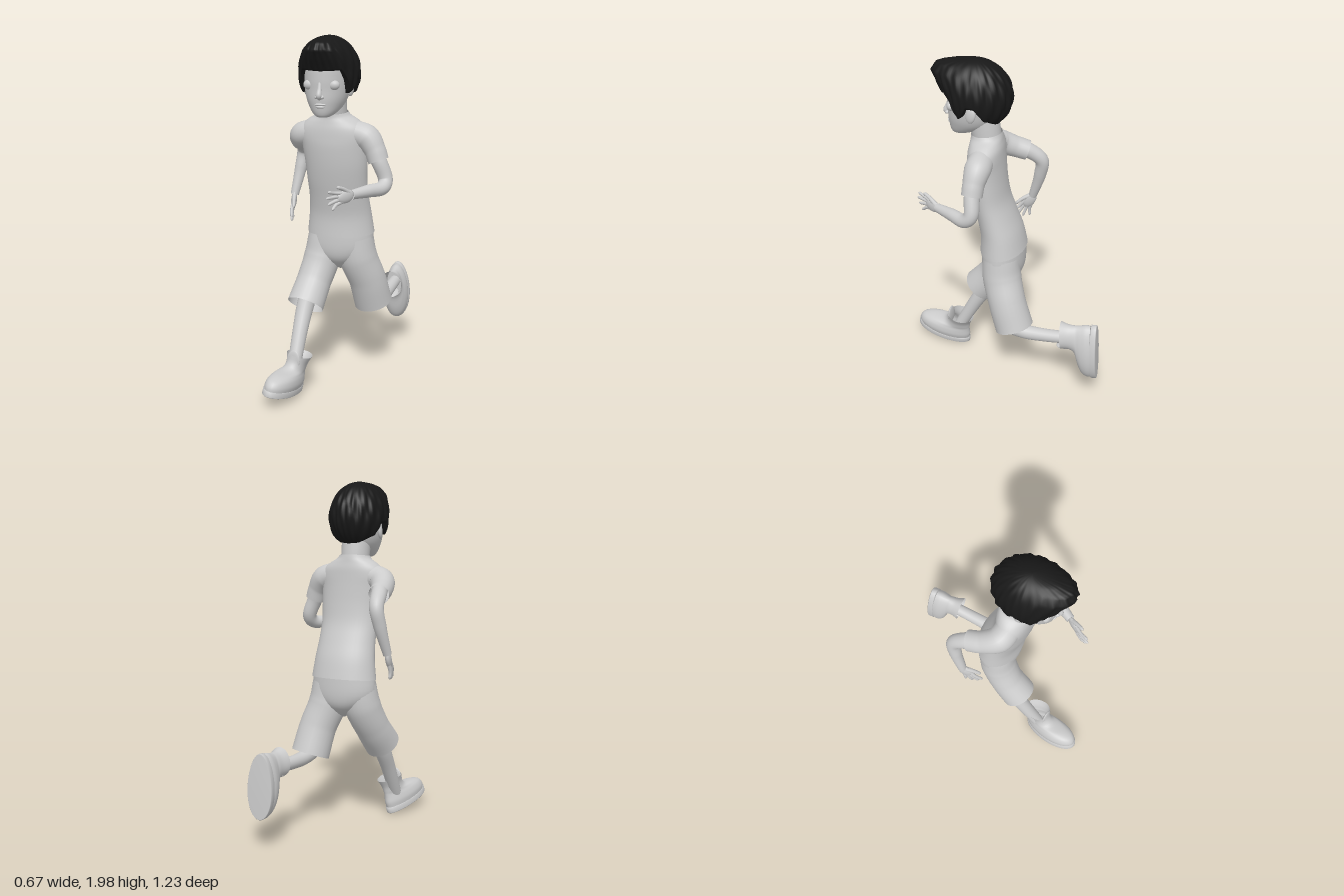
import * as THREE from 'three';
import { mergeVertices } from 'three/addons/utils/BufferGeometryUtils.js';

const V = (x, y, z) => new THREE.Vector3(x, y, z);
const grey = new THREE.MeshStandardMaterial({ color: 0xcccccc, side: THREE.DoubleSide });
const black = new THREE.MeshStandardMaterial({ color: 0x181818, side: THREE.DoubleSide });

function add(parent, name, geometry, material = grey) {
  const mesh = new THREE.Mesh(geometry, material);
  mesh.name = name;
  parent.add(mesh);
  return mesh;
}

// Straight interpolation in a table of [key, value] pairs with rising keys
function lookup(table, k) {
  let i = 0;
  while (i < table.length - 2 && k > table[i + 1][0]) i++;
  const [k0, v0] = table[i], [k1, v1] = table[i + 1];
  return v0 + (v1 - v0) * THREE.MathUtils.clamp((k - k0) / (k1 - k0), 0, 1);
}

// Skin stacked rings of points, ordered upwards
function skin(rings) {
  const n = rings[0].length, pos = [], idx = [];
  rings.forEach(r => r.forEach(p => pos.push(p.x, p.y, p.z)));
  for (let i = 0; i < rings.length - 1; i++)
    for (let j = 0; j < n; j++) {
      const a = i * n + j, b = i * n + (j + 1) % n;
      idx.push(a, b, a + n, b, b + n, a + n);
    }
  const g = new THREE.BufferGeometry();
  g.setAttribute('position', new THREE.Float32BufferAttribute(pos, 3));
  g.setIndex(idx);
  g.computeVertexNormals();
  return g;
}

// Rows of [y, centre x, centre z, radius x, radius z], splined between rows
function loft(rows, { tilt = 0, taper = 0, steps = 4, n = 36 } = {}) {
  const rings = [], last = rows.length - 1;
  for (let s = 0; s <= last * steps; s++) {
    const i = Math.min(Math.floor(s / steps), last - 1), t = s / steps - i;
    const [y, cx, cz, rx, rz] = rows[i].map((p1, c) => {
      const p2 = rows[i + 1][c], p0 = rows[Math.max(i - 1, 0)][c], p3 = rows[Math.min(i + 2, last)][c];
      const m1 = (p2 - p0) / 2, m2 = (p3 - p1) / 2;
      return p1 + m1 * t + (3 * (p2 - p1) - 2 * m1 - m2) * t * t + (2 * (p1 - p2) + m1 + m2) * t ** 3;
    });
    rings.push(Array.from({ length: n }, (_, j) => {
      const a = j / n * Math.PI * 2, z = rz * Math.cos(a);
      return V(cx + rx * Math.sin(a) * (1 + taper * Math.cos(a)), y + tilt * z, cz + z);
    }));
  }
  return skin(rings);
}

// Tube of varying radius; rows of [x, y, z, radius]
function limb(rows, seg = 28, sides = 24) {
  const curve = new THREE.CatmullRomCurve3(rows.map(r => V(r[0], r[1], r[2])));
  const radii = rows.map((r, i) => [i, r[3]]);
  let g = new THREE.TubeGeometry(curve, seg, 1, sides);
  const p = g.attributes.position, v = V(0, 0, 0);
  for (let i = 0; i < p.count; i++) {
    const u = Math.floor(i / (sides + 1)) / seg, c = curve.getPointAt(u);
    const r = lookup(radii, curve.getUtoTmapping(u) * (rows.length - 1));
    v.fromBufferAttribute(p, i).sub(c).multiplyScalar(r).add(c);
    p.setXYZ(i, v.x, v.y, v.z);
  }
  g.deleteAttribute('uv');
  g.deleteAttribute('normal');
  g = mergeVertices(g, 1e-5);
  g.computeVertexNormals();
  return g;
}

function ball(parent, name, [x, y, z], [sx, sy, sz], material = grey) {
  const m = add(parent, name, new THREE.SphereGeometry(1, 24, 16), material);
  m.position.set(x, y, z);
  m.scale.set(sx, sy, sz);
  return m;
}

// Turn a group so that its y and z axes follow two directions, y kept exact
function orient(group, up, forward) {
  const y = up.clone().normalize(), x = y.clone().cross(forward).normalize();
  group.quaternion.setFromRotationMatrix(new THREE.Matrix4().makeBasis(x, y, x.clone().cross(y)));
}

// Open hand: fingers along local y, thumb on local z
function hand(name, wrist, fingers, thumb) {
  const g = new THREE.Group();
  g.name = name;
  ball(g, 'palm', [0, 0.045, 0], [0.017, 0.056, 0.036]);
  [-0.027, -0.009, 0.009, 0.026].forEach((z, i) => {
    const len = [0.145, 0.168, 0.178, 0.165][i];
    add(g, 'finger', limb([[0, 0.06, z * 0.8, 0.011], [0.004, 0.11, z * 1.2, 0.0095],
      [-0.002, len - 0.008, z * 1.8, 0.008], [-0.004, len, z * 1.85, 0.001]], 10, 10));
  });
  add(g, 'thumb', limb([[0, 0.02, 0.015, 0.014], [-0.004, 0.06, 0.044, 0.011],
    [-0.008, 0.1, 0.062, 0.009], [-0.008, 0.108, 0.065, 0.001]], 10, 10));
  g.position.copy(wrist);
  orient(g, fingers, thumb);
  return g;
}

// Ankle boot: heel at local origin, toe along z
function boot(name, heel, up, toe) {
  const g = new THREE.Group();
  g.name = name;
  add(g, 'sole', loft([[0, 0, 0.18, 0, 0], [0, 0, 0.182, 0.074, 0.178], [0.004, 0, 0.182, 0.077, 0.182],
    [0.032, 0, 0.182, 0.077, 0.182], [0.034, 0, 0.182, 0.07, 0.17]], { taper: 0.12, steps: 1 }));
  add(g, 'bootUpper', loft([[0.032, 0, 0.182, 0.072, 0.175], [0.06, 0, 0.182, 0.076, 0.176],
    [0.09, 0, 0.175, 0.07, 0.163], [0.112, 0, 0.15, 0.06, 0.135], [0.13, 0, 0.108, 0.054, 0.092],
    [0.165, 0, 0.092, 0.056, 0.078], [0.207, 0, 0.083, 0.07, 0.083]], { taper: 0.1, tilt: -0.03 }));
  const tongue = ball(g, 'tongue', [0, 0.175, 0.15], [0.042, 0.062, 0.011]);
  tongue.rotation.x = 0.15;
  g.position.copy(heel);
  const x = up.clone().cross(toe);
  orient(g, toe.clone().cross(x), toe);
  return g;
}

// Hair cap with a forward quiff, sideburns and a lower nape
function hair() {
  const edge = [[0, 1.82], [42, 1.825], [55, 1.77], [66, 1.70], [76, 1.72], [86, 1.775], [100, 1.77],
    [115, 1.70], [150, 1.66], [180, 1.655]];
  const front = [[-0.6, 0.15], [0.1, 0.175], [0.4, 0.21], [0.65, 0.235], [0.85, 0.205], [0.95, 0.125], [1, 0]];
  const rings = [], n = 120, rows = 30;
  for (let i = 0; i <= rows + 1; i++) {
    const t = Math.min(i / rows, 1), tuck = i > rows ? 0.72 : 1;
    rings.push(Array.from({ length: n }, (_, j) => {
      const a = j / n * Math.PI * 2, deg = Math.abs(a > Math.PI ? a - 2 * Math.PI : a) * 180 / Math.PI;
      const phi = t * Math.acos((lookup(edge, deg) - 1.8) / 0.2);
      const c = Math.cos(phi), s = Math.sin(phi);
      const wave = tuck * (1 + s * (0.022 * Math.sin(17 * a + 5 * phi) + 0.014 * Math.sin(29 * a - 4 * phi)));
      const rz = Math.cos(a) > 0 ? lookup(front, c) : 0.205 * s;
      return V(-0.01 + 0.163 * s * Math.sin(a) * wave, 1.8 + 0.2 * c, 0.165 + rz * Math.cos(a) * wave);
    }));
  }
  return skin(rings.reverse());
}

export function createModel() {
  const model = new THREE.Group();
  model.name = 'runningBoy';

  // Shirt
  add(model, 'shirt', loft([[0.89, 0.007, 0, 0.195, 0.132], [1.0, 0.007, 0.012, 0.181, 0.118],
    [1.1, 0.007, 0.04, 0.172, 0.108], [1.2, 0.005, 0.07, 0.172, 0.101], [1.3, 0.005, 0.088, 0.178, 0.102],
    [1.4, 0, 0.098, 0.187, 0.103], [1.46, -0.003, 0.1, 0.196, 0.101], [1.505, -0.005, 0.1, 0.183, 0.098],
    [1.54, -0.01, 0.1, 0.145, 0.092], [1.565, -0.012, 0.1, 0.103, 0.088], [1.585, -0.013, 0.102, 0.088, 0.086]],
    { tilt: -0.1 }));
  add(model, 'leftSleeve', limb([[0.09, 1.475, 0.1, 0.07], [0.185, 1.447, 0.105, 0.073],
    [0.232, 1.385, 0.115, 0.06], [0.255, 1.325, 0.12, 0.058]]));
  add(model, 'rightSleeve', limb([[-0.1, 1.475, 0.1, 0.07], [-0.19, 1.447, 0.075, 0.073],
    [-0.232, 1.41, -0.005, 0.061], [-0.247, 1.385, -0.08, 0.058]]));

  // Arms and hands
  add(model, 'leftArm', limb([[0.2, 1.42, 0.11, 0.044], [0.258, 1.32, 0.118, 0.044], [0.295, 1.22, 0.118, 0.04],
    [0.287, 1.185, 0.155, 0.039], [0.23, 1.18, 0.24, 0.035], [0.165, 1.177, 0.345, 0.025]], 40));
  add(model, 'rightArm', limb([[-0.21, 1.43, 0.03, 0.044], [-0.25, 1.38, -0.09, 0.044], [-0.268, 1.32, -0.157, 0.04],
    [-0.285, 1.22, -0.147, 0.036], [-0.31, 1.06, -0.1, 0.024]], 40));
  model.add(hand('leftHand', V(0.168, 1.177, 0.34), V(-0.1, -0.015, 0.15), V(0, 1, 0)));
  model.add(hand('rightHand', V(-0.31, 1.07, -0.103), V(0.005, -0.155, 0.08), V(0.25, 0.4, 0.9)));

  // Shorts
  add(model, 'shortsSeat', loft([[0.66, 0.005, 0, 0, 0], [0.69, 0.005, 0.0, 0.055, 0.06], [0.74, 0.005, 0, 0.14, 0.108],
    [0.81, 0.005, 0, 0.19, 0.125], [0.92, 0.007, 0, 0.184, 0.124]]));
  add(model, 'rightShortsLeg', limb([[-0.085, 0.86, 0.005, 0.098], [-0.1, 0.73, 0.025, 0.106],
    [-0.13, 0.6, 0.09, 0.1], [-0.152, 0.48, 0.185, 0.105]]));
  add(model, 'leftShortsLeg', limb([[0.09, 0.86, 0, 0.105], [0.105, 0.74, -0.01, 0.112],
    [0.15, 0.6, -0.05, 0.108], [0.175, 0.445, -0.1, 0.111]]));

  // Lower legs and boots
  add(model, 'rightLeg', limb([[-0.14, 0.62, 0.07, 0.055], [-0.165, 0.46, 0.15, 0.05],
    [-0.172, 0.33, 0.227, 0.043], [-0.177, 0.12, 0.34, 0.036]]));
  add(model, 'leftLeg', limb([[0.16, 0.56, -0.06, 0.06], [0.18, 0.46, -0.08, 0.05], [0.19, 0.432, -0.15, 0.042],
    [0.2, 0.43, -0.28, 0.038], [0.212, 0.45, -0.5, 0.034]], 40));
  model.add(boot('rightBoot', V(-0.165, 0.018, 0.27), V(0.2, 0.97, -0.18).normalize(), V(-0.18, 0.2, 0.96).normalize()));
  model.add(boot('leftBoot', V(0.213, 0.555, -0.588), V(0, -0.05, 1).normalize(), V(0, -1, -0.05).normalize()));

  // Neck and head
  add(model, 'neck', limb([[-0.013, 1.5, 0.095, 0.08], [-0.013, 1.58, 0.104, 0.081], [-0.015, 1.7, 0.125, 0.085]]));
  const head = new THREE.Group();
  head.name = 'head';
  head.position.x = -0.018;
  model.add(head);
  add(head, 'skull', loft([[1.568, 0, 0.255, 0, 0], [1.575, 0, 0.25, 0.036, 0.04], [1.595, 0, 0.225, 0.065, 0.078],
    [1.63, 0, 0.192, 0.092, 0.118], [1.67, 0, 0.178, 0.11, 0.137], [1.72, 0, 0.17, 0.121, 0.146],
    [1.78, 0, 0.165, 0.127, 0.154], [1.86, 0, 0.16, 0.128, 0.153], [1.94, 0, 0.16, 0.088, 0.1], [1.97, 0, 0.16, 0, 0]]));
  for (const s of [-1, 1]) {
    const side = s < 0 ? 'right' : 'left';
    ball(head, side + 'Eye', [s * 0.067, 1.745, 0.281], [0.033, 0.027, 0.024]);
    const ear = ball(head, side + 'Ear', [s * 0.124, 1.72, 0.16], [0.014, 0.043, 0.029]);
    ear.rotation.set(-0.2, -s * 0.3, 0);
    ball(head, side + 'Nostril', [s * 0.014, 1.683, 0.32], [0.012, 0.01, 0.013]);
  }
  add(head, 'nose', limb([[0, 1.76, 0.308, 0.01], [0, 1.72, 0.319, 0.013], [0, 1.69, 0.33, 0.016], [0, 1.672, 0.316, 0.008]]));
  ball(head, 'upperLip', [0, 1.643, 0.307], [0.032, 0.007, 0.012]);
  ball(head, 'lowerLip', [0, 1.63, 0.304], [0.026, 0.008, 0.013]);
  add(model, 'hair', hair(), black);
  return model;
}
